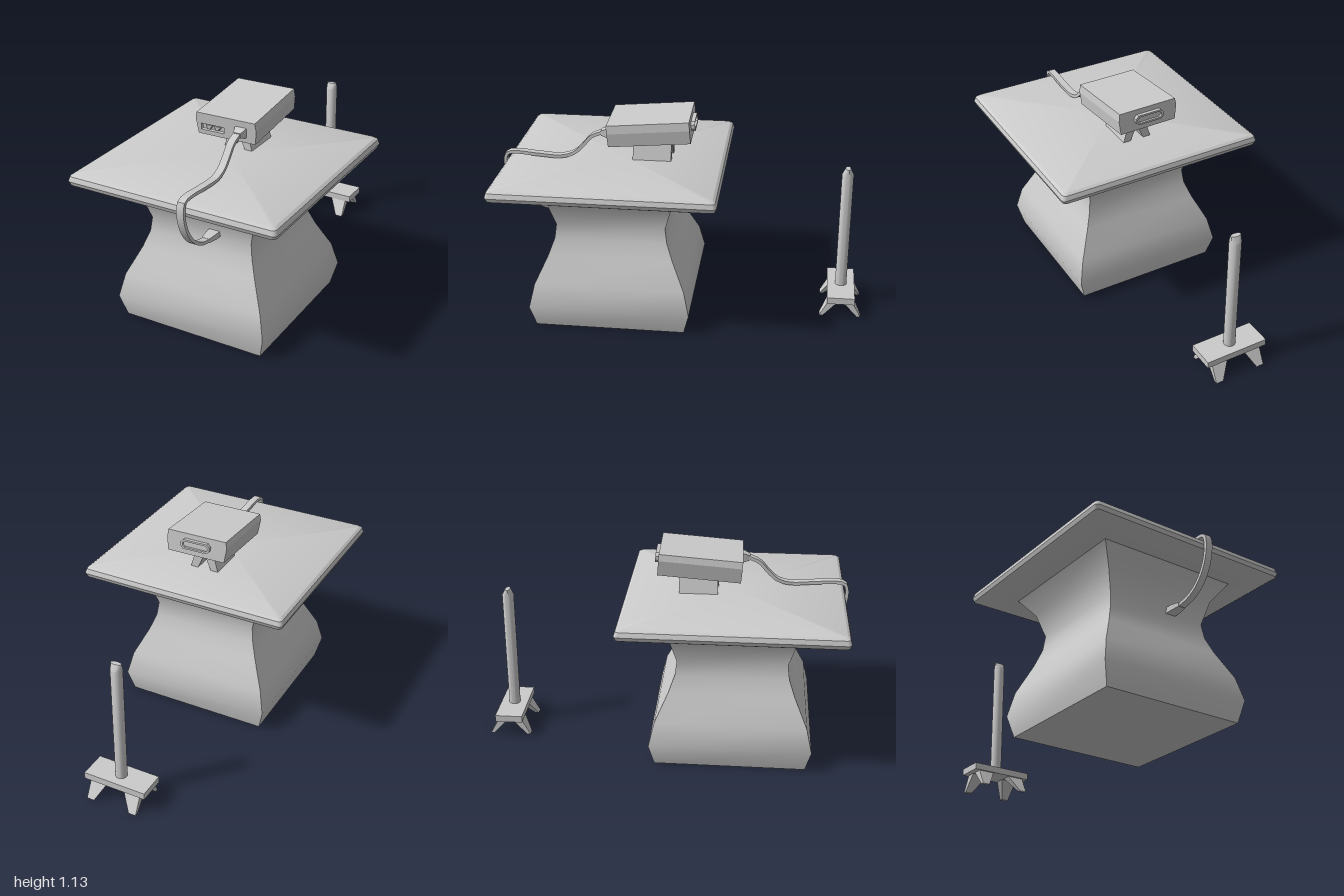
import * as THREE from 'three';
import { toCreasedNormals } from 'three/addons/utils/BufferGeometryUtils.js';

const grey = new THREE.MeshStandardMaterial({ color: 0xcccccc });

function add(parent, name, geometry, x = 0, y = 0, z = 0) {
  const mesh = new THREE.Mesh(geometry, grey);
  mesh.name = name;
  mesh.position.set(x, y, z);
  parent.add(mesh);
  return mesh;
}

function group(parent, name, x = 0, y = 0, z = 0) {
  const g = new THREE.Group();
  g.name = name;
  g.position.set(x, y, z);
  parent.add(g);
  return g;
}

// Skins a stack of rings (each an array of Vector3) and caps both ends
function loft(rings, crease = 0.6) {
  const pos = [];
  const tri = (...p) => p.forEach(v => pos.push(v.x, v.y, v.z));
  const n = rings[0].length;
  const middle = r => r.reduce((s, v) => s.add(v), new THREE.Vector3()).divideScalar(n);
  const low = rings[0], high = rings[rings.length - 1];
  const lowMid = middle(low), highMid = middle(high);
  for (let i = 0; i < n; i++) {
    const j = (i + 1) % n;
    for (let k = 0; k < rings.length - 1; k++) {
      const a = rings[k], b = rings[k + 1];
      tri(a[i], b[i], a[j]);
      tri(a[j], b[i], b[j]);
    }
    tri(lowMid, low[i], low[j]);
    tri(highMid, high[j], high[i]);
  }
  const g = new THREE.BufferGeometry();
  g.setAttribute('position', new THREE.Float32BufferAttribute(pos, 3));
  return toCreasedNormals(g, crease);
}

// Horizontal rings
function rect(x0, x1, z0, z1, y) {
  return [[x1, z0], [x1, z1], [x0, z1], [x0, z0]].map(([x, z]) => new THREE.Vector3(x, y, z));
}

function roundedSquare(half, radius, y) {
  const ring = [];
  for (let c = 0; c < 4; c++) {
    for (let s = 0; s <= 4; s++) {
      const a = (c + s / 4) * Math.PI / 2;
      const m = (c + 0.5) * Math.PI / 2;
      ring.push(new THREE.Vector3(
        Math.sign(Math.cos(m)) * (half - radius) + radius * Math.cos(a), y,
        Math.sign(Math.sin(m)) * (half - radius) + radius * Math.sin(a)));
    }
  }
  return ring;
}

function ellipse(rx, rz, y, n = 20) {
  return Array.from({ length: n }, (_, i) => {
    const a = i / n * Math.PI * 2;
    return new THREE.Vector3(rx * Math.cos(a), y, rz * Math.sin(a));
  });
}

const outline = pts => pts.map(([x, y]) => new THREE.Vector2(x, y));

function extrude(pts, depth, hole) {
  const shape = new THREE.Shape(outline(pts));
  if (hole) shape.holes.push(new THREE.Path(outline(hole)));
  return new THREE.ExtrudeGeometry(shape, { depth, bevelEnabled: false });
}

// Elongated octagon
function octagon(w, h, c) {
  return [[w, -h + c], [w, h - c], [w - c, h], [-w + c, h], [-w, h - c], [-w, -h + c], [-w + c, -h], [w - c, -h]];
}

function buildTable(root) {
  const table = group(root, 'table', 0, 0, 0.375);
  const profile = [[0.41, 0], [0.44, 0.12], [0.41, 0.25], [0.34, 0.4], [0.307, 0.49], [0.297, 0.57], [0.335, 0.7], [0.41, 0.803]];
  add(table, 'pedestal', loft(profile.map(([h, y]) => rect(-h, h, -h, h, y))));
  const edge = [[0.41, 0.8], [0.575, 0.808], [0.59, 0.816], [0.598, 0.838], [0.59, 0.864], [0.575, 0.875]];
  add(table, 'tableTop', loft(edge.map(([h, y]) => roundedSquare(h, 0.022, y))));
}

function buildDevice(root) {
  // Inverted V stand
  const vee = [[-0.083, 0], [-0.04, 0], [0, 0.095], [0.04, 0], [0.083, 0], [0.045, 0.14], [-0.045, 0.14]];
  add(root, 'deviceStand', extrude(vee, 0.21), 0, 0.872, 0.072);

  const device = group(root, 'device', -0.003, 1.055, 0.185);
  device.rotation.set(0.078, 0.02, 0);

  // Casing, with its front layer cut open for the socket panel
  const section = [[-0.165, -0.06], [0.168, -0.06], [0.176, 0.015], [0.17, 0.06], [-0.17, 0.06], [-0.178, 0.025]];
  const socket = [[-0.147, -0.035], [-0.147, 0], [-0.013, 0], [-0.013, -0.035]];
  add(device, 'casing', extrude(section, 0.427), 0, 0, -0.222);
  add(device, 'frontPanel', extrude(section, 0.018, socket), 0, 0, 0.205);
  for (const x of [-0.104, -0.056]) {
    add(device, 'socketBar', new THREE.BoxGeometry(0.036, 0.011, 0.016), x, -0.011, 0.212);
    add(device, 'socketFoot', new THREE.BoxGeometry(0.02, 0.012, 0.016), x, -0.022, 0.212);
  }

  // Raised rim on the back
  add(device, 'rearRim', extrude(octagon(0.085, 0.027, 0.016), 0.022, octagon(0.073, 0.017, 0.011)), 0, 0.004, -0.243);
  add(device, 'rearPlate', extrude(octagon(0.075, 0.019, 0.011), 0.01), 0, 0.004, -0.23);

  // Tapered cable plug
  const plug = loft([[0.032, 0.027, 0], [0.03, 0.024, 0.015], [0.021, 0.014, 0.045]]
    .map(([w, d, y]) => rect(-w, w, -d, d, y)));
  add(device, 'cablePlug', plug, 0.088, -0.002, 0.22).rotation.x = Math.PI / 2;
}

function buildCable(root) {
  // Flat ribbon swept along a curve
  const path = new THREE.CatmullRomCurve3([
    [0.088, 1.035, 0.44], [0.088, 1.01, 0.5], [0.088, 0.955, 0.55], [0.09, 0.91, 0.6], [0.094, 0.889, 0.67],
    [0.097, 0.895, 0.8], [0.095, 0.903, 0.92], [0.093, 0.893, 0.972], [0.092, 0.845, 0.985], [0.092, 0.75, 0.968],
    [0.092, 0.66, 0.915], [0.092, 0.605, 0.84], [0.09, 0.58, 0.75],
  ].map(p => new THREE.Vector3(...p)));
  const across = new THREE.Vector3(1, 0, 0);
  const rings = [];
  for (let i = 0; i <= 40; i++) {
    const p = path.getPointAt(i / 40);
    const n = across.clone().cross(path.getTangentAt(i / 40)).normalize();
    rings.push([[1, -1], [1, 1], [-1, 1], [-1, -1]].map(([a, b]) =>
      p.clone().addScaledVector(across, a * 0.02).addScaledVector(n, b * 0.009)));
  }
  add(root, 'cable', loft(rings));

  const end = loft([[0.03, 0.016, 0], [0.03, 0.016, 0.045], [0.021, 0.011, 0.1]]
    .map(([w, d, y]) => rect(-w, w, -d, d, y)));
  add(root, 'cableEnd', end, 0.088, 0.583, 0.665).rotation.x = Math.PI / 2;
}

function buildPost(root) {
  const post = group(root, 'postStand', -0.016, 0, -0.886);
  add(post, 'basePlate', new THREE.BoxGeometry(0.36, 0.038, 0.153), 0, 0.112, 0);
  // Round post ending in a chisel tip
  add(post, 'post', loft([ellipse(0.032, 0.032, 0.12), ellipse(0.032, 0.032, 0.805), ellipse(0.03, 0.014, 0.84)], 0.5));
  // Splayed legs
  const span = (s, a, b) => [Math.min(s * a, s * b), Math.max(s * a, s * b)];
  for (const sx of [-1, 1]) {
    for (const sz of [-1, 1]) {
      add(post, 'leg', loft([
        rect(...span(sx, 0.105, 0.147), ...span(sz, 0.094, 0.115), 0),
        rect(...span(sx, 0.05, 0.147), ...span(sz, 0.008, 0.064), 0.095),
      ]));
    }
  }
}

export function createModel() {
  const root = new THREE.Group();
  root.name = 'tableAndPost';
  buildTable(root);
  buildDevice(root);
  buildCable(root);
  buildPost(root);
  return root;
}
